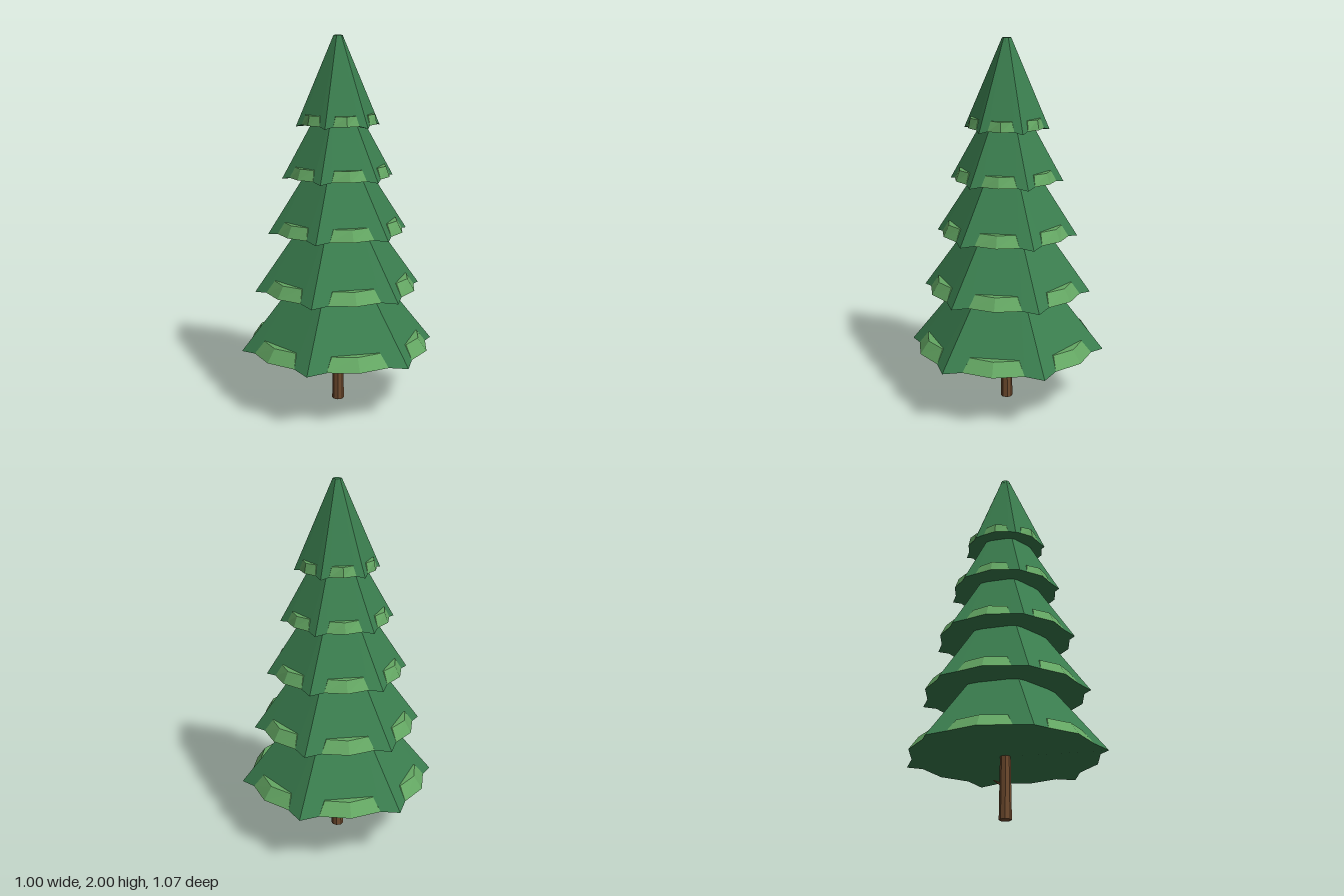
import * as THREE from 'three';

const needleGreen = new THREE.MeshStandardMaterial({ color: 0x3a7d4e });
needleGreen.name = 'needle green';
const tipGreen = new THREE.MeshStandardMaterial({ color: 0x64a763 });
tipGreen.name = 'light tip green';
const bark = new THREE.MeshStandardMaterial({ color: 0x6e4a2e });
bark.name = 'bark brown';

// base height, corner radius, top height, top corner radius, height of the light tips
const TIERS = [
  [0.315, 0.535, 0.75, 0.19, 0.08],
  [0.645, 0.457, 1.06, 0.16, 0.077],
  [0.96, 0.382, 1.35, 0.13, 0.073],
  [1.255, 0.304, 1.62, 0.10, 0.068],
  [1.53, 0.227, 2.0, 0.024, 0.064],
];
const APOTHEM = Math.sqrt(3) / 2;

// point on a side: d outward, t along the side, y up
const place = (phi, d, t, y) => [
  Math.sin(phi) * d + Math.cos(phi) * t, y, Math.cos(phi) * d - Math.sin(phi) * t,
];

// unshared triangles give crisp flat facets
function facets(polygons) {
  const out = [];
  for (const p of polygons)
    for (let i = 1; i < p.length - 1; i++) out.push(...p[0], ...p[i], ...p[i + 1]);
  const g = new THREE.BufferGeometry();
  g.setAttribute('position', new THREE.Float32BufferAttribute(out, 3));
  g.computeVertexNormals();
  return g;
}

function makeTier([y0, r, y1, r1, tipHeight], index) {
  const green = [], light = [];
  const lift = 0.012;
  for (let k = 0; k < 6; k++) {
    const phi = Math.PI / 6 + (k * Math.PI) / 3;
    const at = (d, t, y) => place(phi, d, t, y);
    const yb = y0 + lift, yt = y0 + tipHeight;

    // sloping side, with its lower edge slightly drawn in between the corners
    const A = at(APOTHEM * r, -r / 2, y0), B = at(APOTHEM * r, r / 2, y0);
    const P = at(0.854 * r, -0.305 * r, yb), Q = at(0.854 * r, 0.305 * r, yb);
    const a = at(APOTHEM * r1, -r1 / 2, y1), b = at(APOTHEM * r1, r1 / 2, y1);
    green.push([A, P, a], [P, Q, b, a], [Q, B, b]);

    // underside reaching out below the light tip
    const M = at(0.935 * r, 0, yb), C = [0, yb, 0];
    green.push([C, P, A], [C, M, P], [C, Q, M], [C, B, Q]);

    // bulging light tip with a ledge on top
    const f = (yt - yb) / (y1 - yb);
    const wall = THREE.MathUtils.lerp(0.854 * r, APOTHEM * r1, f);
    const w = 0.24 * r;
    const p = at(wall + 0.006, -w, yt), q = at(wall + 0.006, w, yt);
    const m = at(wall + 0.018 + 0.045 * r, 0, yt);
    const pi = at(wall - 0.004, -w, yt), qi = at(wall - 0.004, w, yt);
    light.push([P, M, m, p], [M, Q, q, m], [p, m, pi], [m, qi, pi], [m, q, qi]);
    light.push([P, p, pi], [Q, qi, q]);
  }
  const tier = new THREE.Group();
  tier.name = 'branchTier' + (index + 1);
  const needles = new THREE.Mesh(facets(green), needleGreen);
  needles.name = 'needles';
  const tips = new THREE.Mesh(facets(light), tipGreen);
  tips.name = 'lightTips';
  tier.add(needles, tips);
  return tier;
}

export function createModel() {
  const tree = new THREE.Group();
  tree.name = 'pineTree';
  TIERS.forEach((t, i) => tree.add(makeTier(t, i)));

  const add = (name, geometry, material) => {
    const mesh = new THREE.Mesh(geometry.toNonIndexed(), material);
    mesh.geometry.computeVertexNormals();
    mesh.name = name;
    tree.add(mesh);
    return mesh;
  };

  // blunt treetop
  add('treetop', new THREE.CylinderGeometry(0.023, 0.03, 0.02, 12), needleGreen).position.y = 1.99;

  // trunk and a small dead twig
  add('trunk', new THREE.CylinderGeometry(0.027, 0.033, 0.36, 8), bark).position.y = 0.18;
  const twig = add('twig', new THREE.CylinderGeometry(0.003, 0.009, 0.065, 5), bark);
  twig.position.set(0.046, 0.2, -0.01);
  twig.rotation.z = -Math.PI / 3;

  return tree;
}
